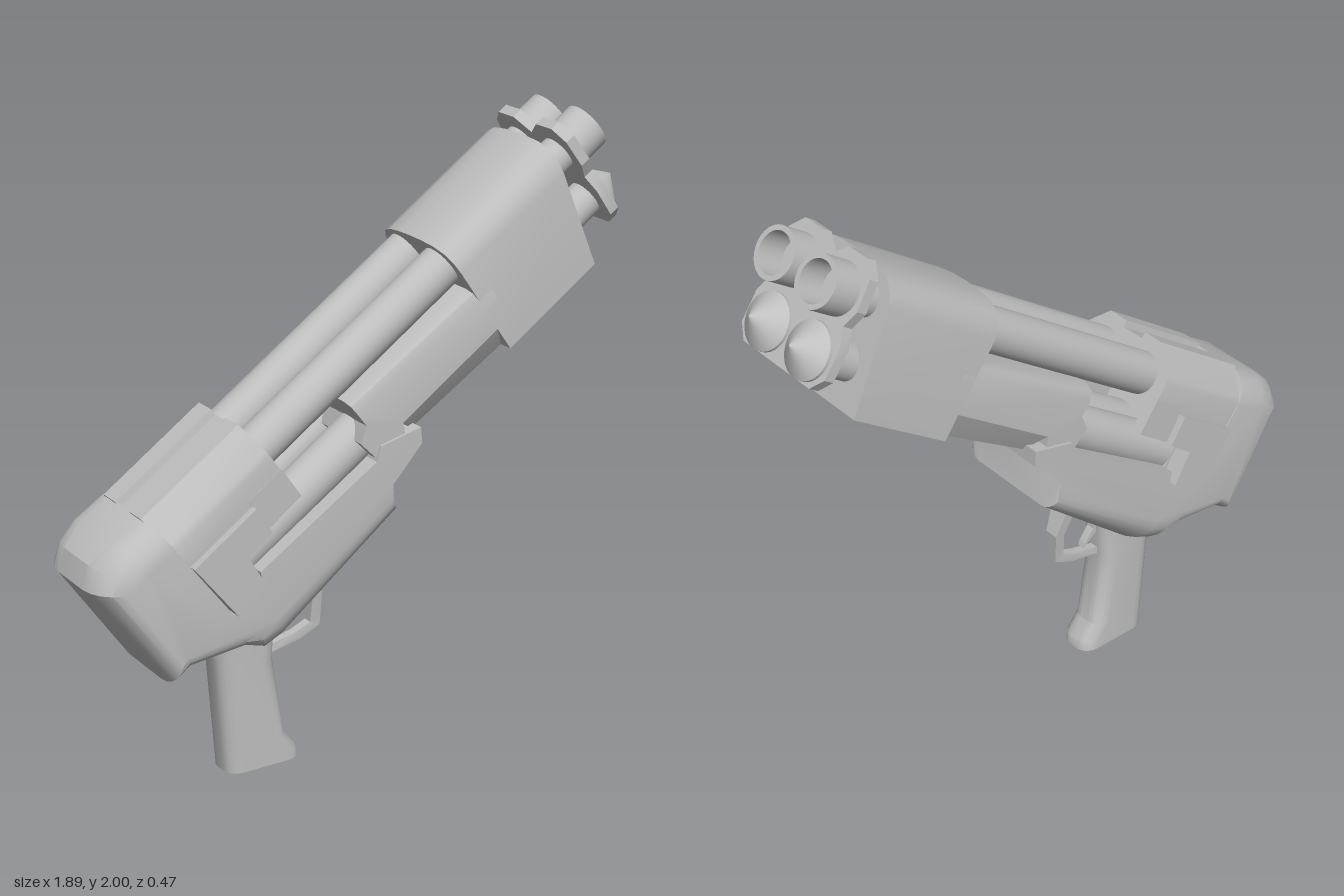
import * as THREE from 'three';
import { toCreasedNormals } from 'three/addons/utils/BufferGeometryUtils.js';

const TILT = THREE.MathUtils.degToRad(35);

// Symmetric slab from a side outline. Each point is [x, y, edgeHalfWidth, dx, dy]:
// the edge rounds over from there to the flat side, inset by (dx, dy) at half width w.
function slab(outline, w, steps = 5) {
  let pts = outline.map(([x, y, e = w, dx = 0, dy = 0]) => ({ x, y, e, dx, dy }));
  if (THREE.ShapeUtils.isClockWise(pts)) pts.reverse();
  const n = pts.length, pos = [];
  const ring = (k, side) => pts.map(p => {
    const a = (k / steps) * Math.PI / 2, s = 1 - Math.cos(a);
    return [p.x + p.dx * s, p.y + p.dy * s, side * (p.e + (w - p.e) * Math.sin(a))];
  });
  // the flat side sits at the wider of the edge and inset rings
  const rings = [];
  for (let k = steps; k >= 0; k--) rings.push(ring(k, -1));
  for (let k = 0; k <= steps; k++) rings.push(ring(k, 1));
  const area = (a, b, c) => new THREE.Triangle(
    new THREE.Vector3(...a), new THREE.Vector3(...b), new THREE.Vector3(...c)).getArea();
  const tri = (a, b, c) => { if (area(a, b, c) > 1e-8) pos.push(...a, ...b, ...c); };
  for (let r = 0; r < rings.length - 1; r++) {
    for (let i = 0; i < n; i++) {
      const j = (i + 1) % n, A = rings[r], B = rings[r + 1];
      tri(A[i], A[j], B[j]);
      tri(A[i], B[j], B[i]);
    }
  }
  const front = rings[rings.length - 1], back = rings[0];
  const faces = THREE.ShapeUtils.triangulateShape(front.map(p => new THREE.Vector2(p[0], p[1])), []);
  for (const [a, b, c] of faces) {
    tri(front[a], front[b], front[c]);
    tri(back[a], back[c], back[b]);
  }
  const g = new THREE.BufferGeometry();
  g.setAttribute('position', new THREE.Float32BufferAttribute(pos, 3));
  return toCreasedNormals(g, 0.5);
}

// Slab with a plain tapered width per point
function taper(outline) {
  return slab(outline.map(([x, y, z]) => [x, y, z]), 0, 1);
}

// Half cross-section [z, height], mirrored and run along the barrel axis
function run(half, from, to, slope = 0, base = 0) {
  const pts = [...half, ...half.slice().reverse().filter(p => p[0] > 0).map(([z, v]) => [-z, v])];
  const shape = new THREE.Shape(pts.map(([z, v]) => new THREE.Vector2(z, v)));
  const g = new THREE.ExtrudeGeometry(shape, { depth: to - from, bevelEnabled: false });
  g.rotateY(Math.PI / 2).translate(from, 0, 0);
  const p = g.attributes.position;
  for (let i = 0; i < p.count; i++) {
    if (p.getX(i) > (from + to) / 2) p.setX(i, to + (p.getY(i) - base) * slope);
  }
  return toCreasedNormals(g.index ? g.toNonIndexed() : g, 0.5);
}

// Turned part along the barrel axis from [radius, position] pairs
function turned(profile, sides = 28) {
  const g = new THREE.LatheGeometry(profile.map(([r, u]) => new THREE.Vector2(r, u)), sides);
  g.rotateZ(-Math.PI / 2);
  return toCreasedNormals(g.toNonIndexed(), 0.5);
}

export function createModel() {
  const model = new THREE.Group();
  const gun = new THREE.Group();
  gun.name = 'tiltedBody';
  gun.rotation.z = TILT;
  model.add(gun);

  const grey = new THREE.MeshStandardMaterial({ color: 0xbfbfbf, side: THREE.DoubleSide });
  grey.name = 'grey';
  const add = (parent, name, geometry, y = 0, z = 0) => {
    const m = new THREE.Mesh(geometry, grey);
    m.name = name;
    m.position.set(0, y, z);
    parent.add(m);
    return m;
  };

  // Rear body with rounded back, rounded belly and front lip
  add(gun, 'rearBody', slab([
    [-0.34, 1.163, 0.08, 0.1, -0.06], [-0.28, 1.21, 0.08, 0.08, -0.09],
    [-0.196, 1.222, 0.1, 0.02, -0.1], [-0.074, 1.214, 0.11, 0, -0.1],
    [-0.06, 0.8], [0.07, 0.81], [0.085, 0.845], [0.58, 0.83], [0.62, 0.86],
    [0.758, 0.806], [0.732, 0.76], [0.579, 0.725],
    [0.547, 0.624, 0.15, 0, 0.06], [0.033, 0.564, 0.08, 0, 0.11],
    [-0.037, 0.575, 0.08, 0, 0.11], [-0.084, 0.646, 0.1, 0, 0.07],
    [-0.26, 0.744, 0.1, 0.01, 0.06], [-0.337, 0.746, 0.1, 0.06, 0.05],
  ], 0.21));

  // Upper breech block with ridged top, stepped over the barrels
  const ridge = [[0, 1.2], [0.04, 1.2], [0.045, 1.222], [0.12, 1.222], [0.2, 1.14], [0.208, 1.12]];
  add(gun, 'breechBlock', run([[0, 1.03], [0.208, 1.03], ...ridge.slice().reverse()], -0.08, 0.325));
  add(gun, 'breechCore', run([[0, 0.82], [0.17, 0.82], [0.17, 1.05], [0, 1.05]], -0.08, 0.08));
  for (const s of [1, -1]) {
    add(gun, 'breechCheek', slab([[0.19, 1.06], [0.328, 1.06], [0.328, 0.94], [0.185, 0.936]], 0.02), 0, s * 0.19);
    add(gun, 'sidePlate', slab([
      [-0.07, 1.037], [0.19, 1.037], [0.185, 0.935], [0.08, 0.93], [0.07, 0.81], [-0.055, 0.8],
    ], 0.03), 0, s * 0.204);
  }

  // Front housing with a domed top and raked face
  add(gun, 'frontHousing', run([
    [0, 0.771], [0.2, 0.771], [0.2, 1.1], [0.19, 1.14], [0.165, 1.172], [0.12, 1.192], [0.06, 1.2], [0, 1.202],
  ], 1.145, 1.535, 0.21, 0.771));

  // Fore-end running back from the housing, with its bevelled underside
  add(gun, 'foreEnd', slab([
    [0.62, 1.04, 0.16, 0, -0.04], [0.622, 0.947], [0.574, 0.913], [0.589, 0.824], [0.7, 0.81],
    [0.724, 0.858], [1.2, 0.858], [1.2, 1.02, 0.16, 0, -0.04],
  ], 0.2, 2));
  const lower = [[0.724, 0.86, 0.2], [0.745, 0.787, 0.15], [1.147, 0.771, 0.15], [1.145, 0.86, 0.2]];
  add(gun, 'foreEndUnderside', bevelWedge(lower));

  // Four barrels with open upper muzzles and pointed lower caps
  for (const s of [1, -1]) {
    const z = s * 0.095;
    add(gun, 'upperBarrel', turned([[0, 0.2], [0.07, 0.2], [0.07, 1.3], [0, 1.3]]), 1.105, z);
    add(gun, 'upperMuzzle', turned([
      [0, 1.5], [0.06, 1.5], [0.06, 1.7], [0.08, 1.7], [0.08, 1.8], [0.064, 1.8], [0.064, 1.7], [0, 1.7],
    ]), 1.098, z);
    add(gun, 'lowerBarrel', turned([[0, 0.02], [0.075, 0.02], [0.075, 0.8], [0, 0.8]]), 0.88, z);
    add(gun, 'lowerMuzzle', turned([
      [0, 1.45], [0.06, 1.45], [0.06, 1.68], [0.088, 1.69], [0.088, 1.715], [0.072, 1.728], [0, 1.787],
    ]), 0.905, z);
  }

  // Plate clamping the four muzzles together
  add(gun, 'muzzlePlate', run([
    [0, 0.816], [0.155, 0.816], [0.195, 0.86], [0.195, 0.96], [0.17, 1.015], [0.195, 1.07],
    [0.185, 1.165], [0.14, 1.21], [0.06, 1.21], [0, 1.16],
  ], 1.67, 1.705));

  // Grip
  const r = 0.055;
  add(model, 'grip', slab([
    [-0.52, 0.5, 0.02, r, 0], [-0.5, 0.45, 0.02, r, 0], [-0.48, 0.39, 0.02, r, 0],
    [-0.45, 0, 0.02, r, 0], [-0.185, 0, 0.02, -r, 0], [-0.19, 0.03, 0.02, -r, 0],
    [-0.235, 0.09, 0.02, -r, 0], [-0.275, 0.36, 0.02, -r, 0], [-0.265, 0.5, 0.02, -r, 0],
  ], 0.066));

  // Trigger guard, wide at the top and thin below, and trigger
  add(model, 'triggerGuard', taperedStrip([
    [-0.13, 0.65, 0.04], [-0.085, 0.53, 0.024], [-0.09, 0.42, 0.016], [-0.16, 0.385, 0.014], [-0.28, 0.36, 0.014],
    [-0.28, 0.387, 0.014], [-0.18, 0.412, 0.014], [-0.125, 0.435, 0.016], [-0.12, 0.52, 0.024], [-0.16, 0.63, 0.04],
  ]));
  add(model, 'trigger', slab([
    [-0.3, 0.53], [-0.275, 0.46], [-0.215, 0.412], [-0.222, 0.432], [-0.255, 0.475], [-0.265, 0.54],
  ], 0.014, 1));

  return model;
}

// Slabs whose side faces follow a different half width at each point
function taperedStrip(points) {
  const g = slab(points.map(([x, y]) => [x, y]), 1, 1);
  const p = g.attributes.position;
  for (let i = 0; i < p.count; i++) {
    const q = points.find(([x, y]) => Math.hypot(x - p.getX(i), y - p.getY(i)) < 1e-4);
    p.setZ(i, p.getZ(i) * q[2]);
  }
  g.deleteAttribute('normal');
  return toCreasedNormals(g, 0.4);
}

function bevelWedge(points) {
  return taperedStrip(points);
}
